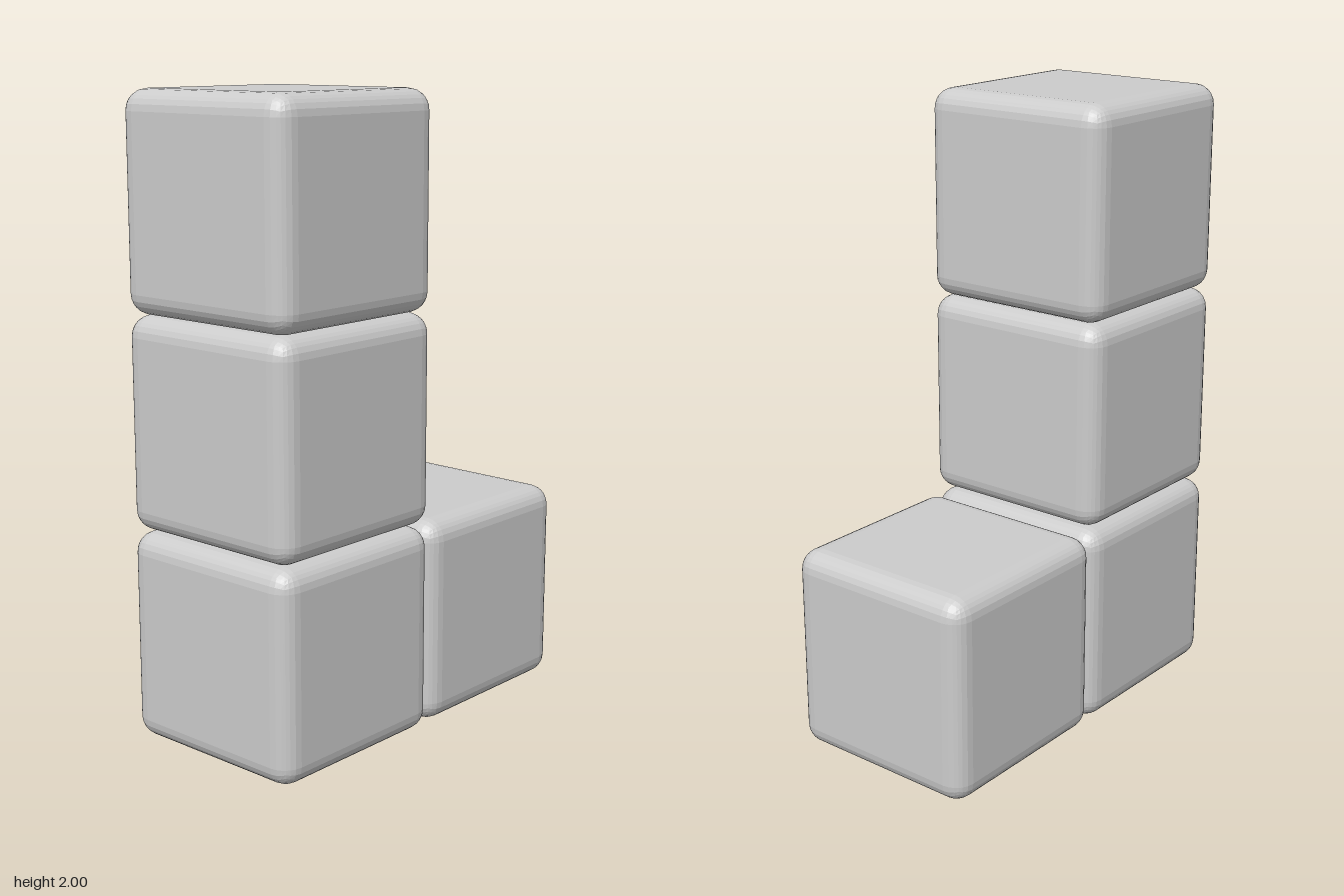
import * as THREE from 'three';
import { RoundedBoxGeometry } from 'three/addons/geometries/RoundedBoxGeometry.js';

export function createModel() {
  const model = new THREE.Group();
  model.name = 'cornerBlock';
  const material = new THREE.MeshStandardMaterial({ color: 0xcccccc, flatShading: true });

  // One bevelled cube shared by every cell of the L shape
  const size = 0.664;
  const cube = new RoundedBoxGeometry(size, size, size, 3, 0.065);

  const cells = [
    ['bottomCube', -0.33, 0.333, 0],
    ['middleCube', -0.33, 1.004, 0.002],
    ['topCube', -0.33, 1.668, 0.002],
    ['sideCube', 0.328, 0.333, -0.005],
  ];
  for (const [name, x, y, z] of cells) {
    const mesh = new THREE.Mesh(cube, material);
    mesh.name = name;
    mesh.position.set(x, y, z);
    model.add(mesh);
  }
  return model;
}
